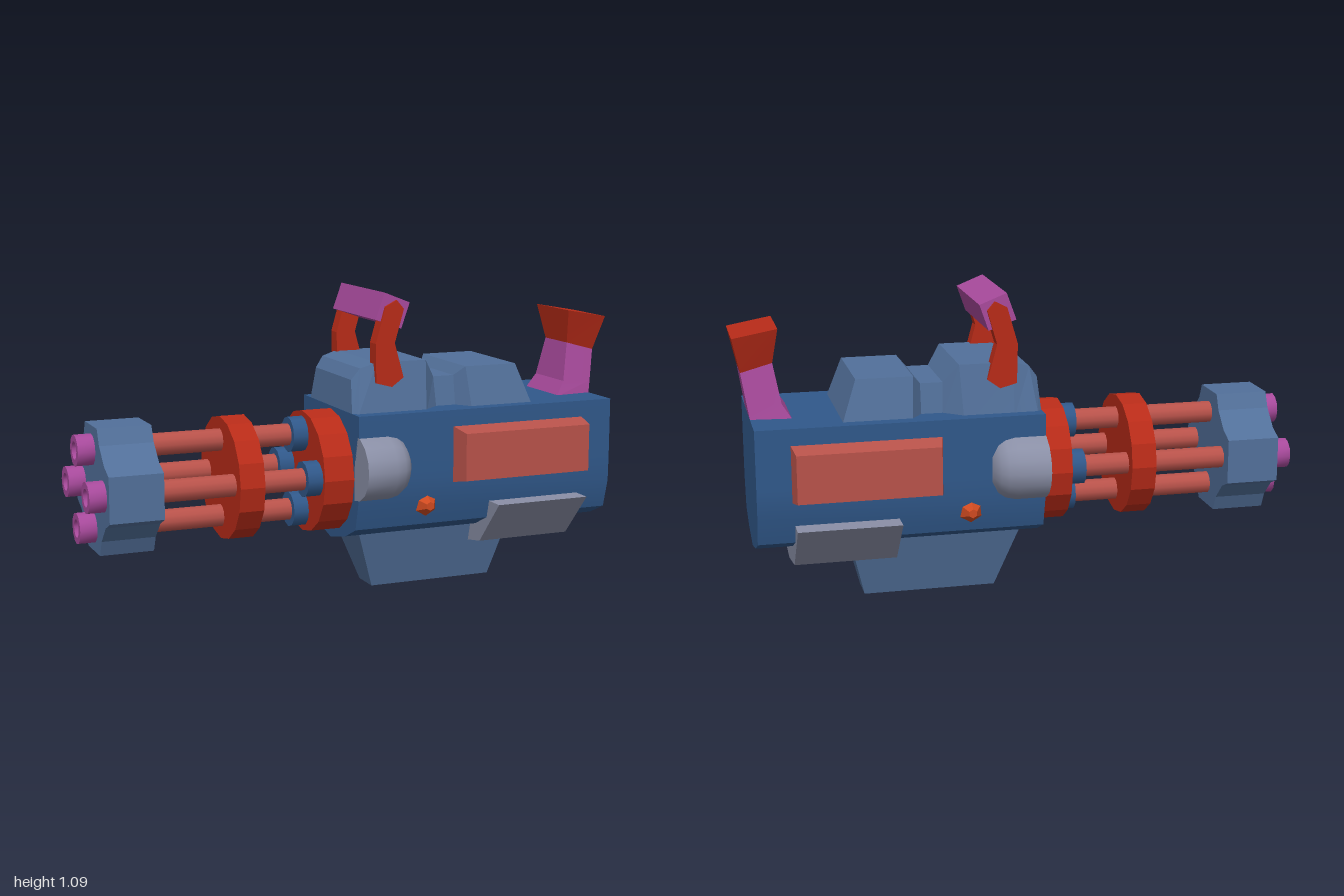
import * as THREE from 'three';
import { toCreasedNormals } from 'three/addons/utils/BufferGeometryUtils.js';

const BLUE = 0x30588a, STEEL = 0x52709a, RED = 0xb82b18, SALMON = 0xb8524a;
const PINK = 0xa84a9c, GREY = 0x8a8fa6, ORANGE = 0xd04a20;
const AXIS_Y = 0.445;

// Closed solid through rings of [x, y, z] points; the winding is turned outward by its volume.
function loft(rings, crease = 0.1) {
  const tris = [], n = rings[0].length;
  for (let i = 0; i < rings.length - 1; i++) {
    for (let j = 0; j < n; j++) {
      const k = (j + 1) % n, a = rings[i], b = rings[i + 1];
      tris.push([a[j], a[k], b[k]], [a[j], b[k], b[j]]);
    }
  }
  const first = rings[0], last = rings[rings.length - 1];
  for (let j = 1; j < n - 1; j++) {
    tris.push([first[0], first[j + 1], first[j]], [last[0], last[j], last[j + 1]]);
  }
  const v = p => new THREE.Vector3(...p);
  const origin = v(first[0]);
  let volume = 0;
  for (const t of tris) {
    const [a, b, c] = t.map(p => v(p).sub(origin));
    volume += a.dot(b.cross(c));
  }
  const flat = tris.flatMap(t => (volume < 0 ? [t[0], t[2], t[1]] : t)).flat();
  const g = new THREE.BufferGeometry();
  g.setAttribute('position', new THREE.Float32BufferAttribute(flat, 3));
  return toCreasedNormals(g, crease);
}

// Prism from a side profile of [x, y], spanning z0 to z1.
const prismZ = (pts, z0, z1) => loft([z0, z1].map(z => pts.map(([x, y]) => [x, y, z])));
// Prism from an end profile of [y, z], spanning x0 to x1.
const prismX = (pts, x0, x1, crease) => loft([x0, x1].map(x => pts.map(([y, z]) => [x, y, z])), crease);
// Cylinder lying along x.
function rod(r, x0, x1, sides) {
  const g = new THREE.CylinderGeometry(r, r, x1 - x0, sides);
  g.rotateZ(Math.PI / 2);
  g.translate((x0 + x1) / 2, 0, 0);
  return g;
}

export function createModel() {
  const model = new THREE.Group();
  const materials = {};
  function add(name, geometry, color, y = 0, z = 0, smooth = true) {
    const key = color + '/' + smooth;
    materials[key] ??= new THREE.MeshStandardMaterial({ color, flatShading: !smooth });
    const mesh = new THREE.Mesh(geometry, materials[key]);
    mesh.name = name;
    mesh.position.set(0, y, z);
    model.add(mesh);
    return mesh;
  }

  // Main housing with a flat top and rounded belly
  const half = [[0.675, 0.26], [0.46, 0.26], [0.37, 0.258], [0.265, 0.23], [0.223, 0.14]];
  const mirrorZ = pts => pts.slice().reverse().map(([y, z]) => [y, -z]);
  add('housing', prismX([...half, [0.19, 0], ...mirrorZ(half)], -0.06, 0.945, 0.7), BLUE);

  // Top cover: [base x, top x, top y, base half width, top half width]
  const cover = [
    [-0.06, -0.05, 0.79, 0.2, 0.165], [-0.045, -0.02, 0.83, 0.215, 0.175],
    [0.04, 0.04, 0.848, 0.215, 0.182], [0.22, 0.23, 0.848, 0.215, 0.182],
    [0.285, 0.28, 0.78, 0.16, 0.14], [0.36, 0.36, 0.78, 0.16, 0.14],
    [0.4, 0.39, 0.815, 0.215, 0.178], [0.645, 0.59, 0.815, 0.215, 0.178]];
  add('topCover', loft(cover.map(([bx, tx, ty, bw, tw]) =>
    [[bx, 0.66, bw], [tx, ty, tw], [tx, ty, -tw], [bx, 0.66, -bw]])), STEEL);

  // Exhaust stack: [back x, back y, front x, front y, back half width, front half width]
  const stack = [
    [0.8, 0.67, 0.944, 0.67, 0.12, 0.105], [0.835, 0.725, 0.952, 0.72, 0.105, 0.098],
    [0.86, 0.865, 0.97, 0.835, 0.08, 0.08], [0.842, 0.99, 0.998, 0.962, 0.12, 0.12]
  ].map(([x0, y0, x1, y1, w0, w1]) => [[x0, y0, w0], [x1, y1, w1], [x1, y1, -w1], [x0, y0, -w0]]);
  add('exhaustStack', loft(stack.slice(0, 3)), PINK);
  add('exhaustFlare', loft(stack.slice(2)), RED);

  // Carrying handle: bar and two bent brackets
  add('handleBar', prismZ([[0.064, 1.094], [0.16, 1.056], [0.128, 0.965], [0.03, 1.0]], -0.195, 0.195), PINK);
  const bracketLow = [[0.09, 0.762], [0.134, 0.794], [0.1, 0.917], [0.027, 0.917], [0.03, 0.778]];
  const bracketHigh = [[0.1, 0.917], [0.134, 1.035], [0.107, 1.067], [0.064, 1.045], [0.027, 0.917]];

  // Parts repeated on both sides
  for (const s of [1, -1]) {
    const side = s > 0 ? 'Front' : 'Back';
    add('handleBracketLower' + side, prismZ(bracketLow, s * 0.153, s * 0.204), RED);
    add('handleBracketUpper' + side, prismZ(bracketHigh, s * 0.153, s * 0.204), RED);

    // Bevelled side panel
    const panel = [[0.305, 0.825, 0.415, 0.616, 0.25], [0.305, 0.825, 0.415, 0.616, 0.26],
      [0.32, 0.815, 0.43, 0.6, 0.334]];
    add('sidePanel' + side, loft(panel.map(([x0, x1, y0, y1, z]) =>
      [[x0, y0, s * z], [x1, y0, s * z], [x1, y1, s * z], [x0, y1, s * z]])), SALMON);

    // Rounded side dome: [x, scale]
    const dome = [[-0.06, 1], [0.05, 1], [0.085, 0.93], [0.11, 0.78], [0.13, 0.5]];
    add('sideDome' + side, loft(dome.map(([x, k]) => Array.from({ length: 9 }, (_, i) => {
      const a = (i / 8 - 0.5) * Math.PI;
      return [x, 0.487 + 0.118 * k * Math.sin(a), s * (0.22 + 0.13 * k * Math.cos(a))];
    })), 0.8), GREY);

    // Side stud
    const stud = new THREE.CylinderGeometry(0.016, 0.043, 0.04, 6);
    stud.rotateX(s * Math.PI / 2);
    stud.translate(0.205, 0.34, s * 0.265);
    add('sideStud' + side, stud, ORANGE, 0, 0, false);
  }

  // Belly plate under the housing
  add('bellyPlate', prismX([[0.33, 0.325], [0.165, 0.177], [0.134, 0], [0.165, -0.177], [0.33, -0.325]],
    0.457, 0.817), GREY);

  // Lower keel, tapering downward: [y, x0, x1, z0, z1]
  const keel = [[0.24, 0, 0.62, -0.14, 0.108], [0, 0.085, 0.56, -0.072, 0.04]];
  add('keel', loft(keel.map(([y, x0, x1, z0, z1]) =>
    [[x0, y, z0], [x1, y, z0], [x1, y, z1], [x0, y, z1]])), STEEL);

  // Barrel discs
  add('rearDisc', rod(0.22, -0.17, -0.05, 16), RED, AXIS_Y, 0, false);
  add('middleDisc', rod(0.22, -0.48, -0.39, 16), RED, AXIS_Y, 0, false);

  // Front clamp with a lobe at each barrel and notches between them
  const clamp = new THREE.Shape();
  for (let i = 0; i < 4; i++) {
    const c = [1, 0, -1, 0][i], s = [0, 1, 0, -1][i];
    [[0.22, -0.08], [0.22, 0.08], [0.165, 0.105], [0.105, 0.165]].forEach(([u, w], j) => {
      const p = [u * c - w * s, u * s + w * c];
      if (i + j === 0) clamp.moveTo(...p); else clamp.lineTo(...p);
    });
  }
  const clampGeometry = new THREE.ExtrudeGeometry(clamp, { depth: 0.19, bevelEnabled: false });
  clampGeometry.rotateY(Math.PI / 2);
  clampGeometry.translate(-0.94, 0, 0);
  add('frontClamp', clampGeometry, STEEL, AXIS_Y, 0, false);

  // Four barrels, each with a rear sleeve and a hollow muzzle
  const muzzle = new THREE.LatheGeometry([[0, 0.02], [0.032, 0.02], [0.032, 0.07], [0.055, 0.07], [0.055, 0]]
    .reverse().map(p => new THREE.Vector2(...p)), 12);
  muzzle.rotateZ(Math.PI / 2);
  muzzle.translate(-0.93, 0, 0);
  const muzzleGeometry = toCreasedNormals(muzzle, 0.7);
  for (let i = 0; i < 4; i++) {
    const y = AXIS_Y + 0.136 * Math.cos(i * Math.PI / 2), z = 0.14 * Math.sin(i * Math.PI / 2);
    add('barrel' + (i + 1), rod(0.04, -0.935, -0.16, 12), SALMON, y, z);
    add('barrelSleeve' + (i + 1), rod(0.064, -0.225, -0.16, 12), BLUE, y, z);
    add('muzzle' + (i + 1), muzzleGeometry, PINK, y, z);
  }
  return model;
}
